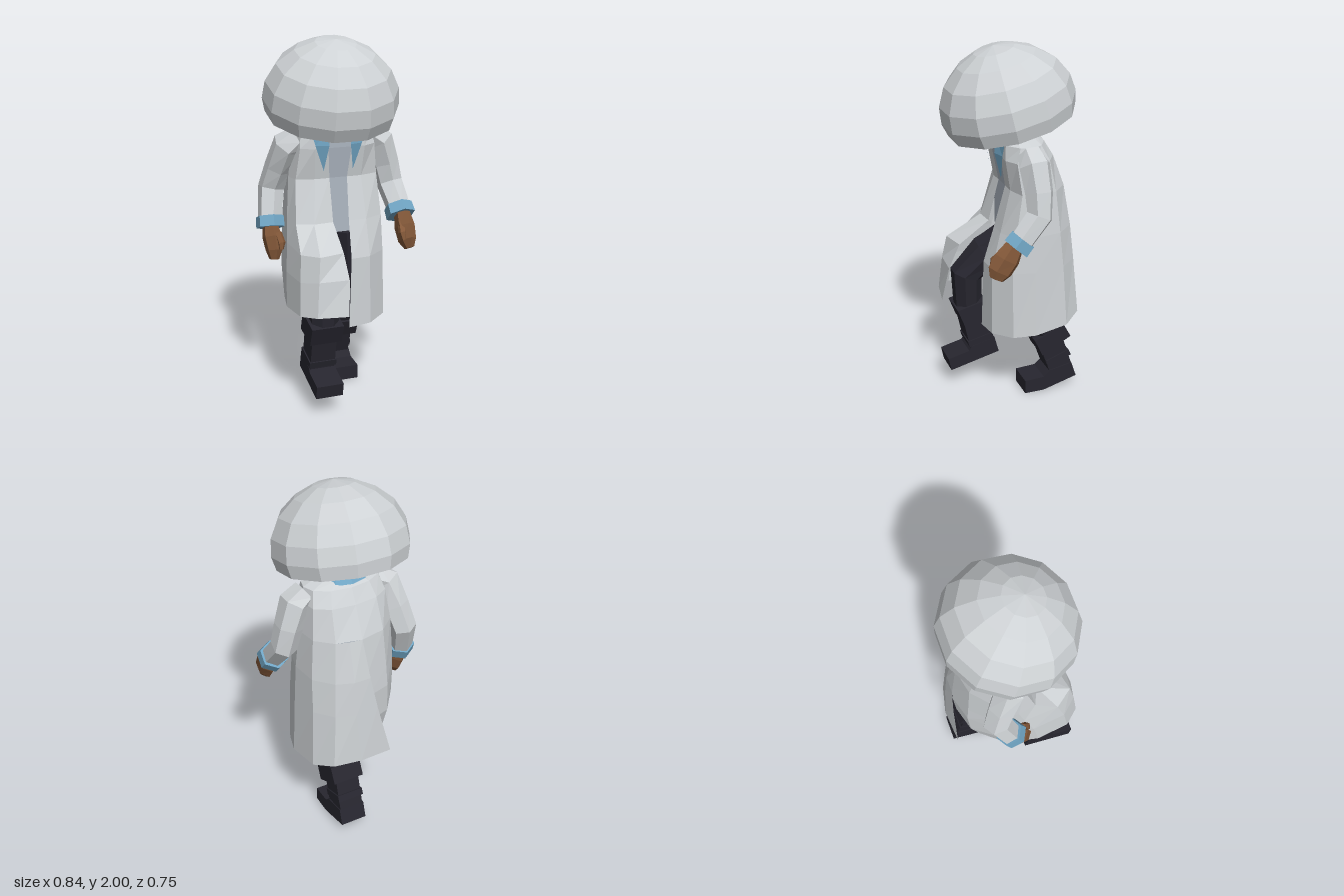
import * as THREE from 'three';

const mat = (name, color, side = THREE.FrontSide) =>
  Object.assign(new THREE.MeshStandardMaterial({ color, flatShading: true, side }), { name });

const V = (p) => new THREE.Vector3(...p);

// Skin a list of point rings; closed rings run counter-clockwise about the direction of travel
function loft(rings, closed = true) {
  const n = rings[0].length, pos = rings.flat().flatMap((p) => [...p]), idx = [];
  for (let r = 0; r < rings.length - 1; r++) {
    for (let i = 0; i < (closed ? n : n - 1); i++) {
      const j = (i + 1) % n, a = r * n + i, b = r * n + j, c = a + n, d = b + n;
      idx.push(a, b, d, a, d, c);
    }
  }
  if (closed) {
    const e = (rings.length - 1) * n;
    for (let i = 1; i < n - 1; i++) idx.push(0, i + 1, i, e, e + i, e + i + 1);
  }
  const g = new THREE.BufferGeometry();
  g.setAttribute('position', new THREE.Float32BufferAttribute(pos, 3));
  g.setIndex(idx);
  g.computeVertexNormals();
  return g;
}

// Limb along a path of [x, y, z, radius across, radius in depth]
function limb(path, sides) {
  const pts = path.map((p) => V(p.slice(0, 3)));
  return loft(pts.map((p, k) => {
    const t = pts[Math.min(k + 1, pts.length - 1)].clone().sub(pts[Math.max(k - 1, 0)]).normalize();
    const u = t.clone().cross(V([0, 0, 1])).normalize(), v = t.clone().cross(u);
    const [, , , ru, rv = ru] = path[k];
    return Array.from({ length: sides }, (_, i) => {
      const a = ((i + 0.5) / sides) * Math.PI * 2;
      return p.clone().addScaledVector(u, ru * Math.cos(a)).addScaledVector(v, rv * Math.sin(a));
    });
  }));
}

// Side profile of [z, y] points, extruded between two x positions
function slab(profile, x0, x1) {
  const g = new THREE.ExtrudeGeometry(
    new THREE.Shape(profile.map(([z, y]) => new THREE.Vector2(z, y))),
    { depth: x1 - x0, bevelEnabled: false });
  return g.rotateY(-Math.PI / 2).translate(x1, 0, 0);
}

export function createModel() {
  const model = new THREE.Group();
  const coat = mat('coat cloth', 0xced2d5, THREE.DoubleSide);
  const hatMat = mat('hat shell', 0xced2d5);
  const lining = mat('hat lining', 0x647584);
  const shirtMat = mat('shirt', 0xb0b9c4, THREE.DoubleSide);
  const blue = mat('blue trim', 0x70a5c4, THREE.DoubleSide);
  const skin = mat('skin', 0x835839);
  const dark = mat('dark trousers and boots', 0x27262f);
  const add = (name, geometry, material, parent = model) => {
    const m = new THREE.Mesh(geometry, material);
    m.name = name;
    parent.add(m);
    return m;
  };

  // Domed hat with the head under it, tipped forward together
  const head = new THREE.Group();
  head.name = 'headAndHat';
  head.position.set(-0.035, 1.585, -0.027);
  head.rotation.x = 0.25;
  model.add(head);
  const dome = [[0.346, 0], [0.364, 0.075], [0.353, 0.17], [0.302, 0.27], [0.212, 0.35], [0.11, 0.4], [0, 0.42]]
    .map((p) => new THREE.Vector2(...p));
  const inner = dome.map((p) => new THREE.Vector2(p.x * 0.985, p.y * 0.985)).reverse();
  add('hat', new THREE.LatheGeometry(dome, 12, Math.PI / 12), hatMat, head);
  add('hatLining', new THREE.LatheGeometry(inner, 12, Math.PI / 12), lining, head);
  const oval = (y, rx, rz, z = 0) => Array.from({ length: 8 }, (_, i) => {
    const a = ((i + 0.5) / 8) * Math.PI * 2;
    return V([rx * Math.sin(a), y, z + rz * Math.cos(a)]);
  });
  add('head', loft([oval(-0.01, 0.09, 0.1, 0.03), oval(0.05, 0.145, 0.155, 0.02),
    oval(0.17, 0.155, 0.16), oval(0.28, 0.12, 0.13)]), skin, head);
  for (const s of [-1, 1]) {
    const ear = add('ear', new THREE.BoxGeometry(0.03, 0.07, 0.045), skin, head);
    ear.position.set(s * 0.15, 0.09, 0);
  }
  add('neck', new THREE.CylinderGeometry(0.08, 0.085, 0.16, 8), skin).position.set(-0.025, 1.56, 0);

  // Coat body: half cross-sections from front edge to spine, mirrored
  const halves = [
    [1.25, [[0.05, 0.04], [0.13, 0.04], [0.23, 0.01], [0.25, -0.06], [0.23, -0.18], [0.14, -0.26], [0, -0.29]]],
    [1.42, [[0.065, 0.07], [0.14, 0.07], [0.21, 0.03], [0.23, -0.06], [0.21, -0.15], [0.13, -0.2], [0, -0.215]]],
    [1.5, [[0.085, 0.075], [0.13, 0.065], [0.2, 0.01], [0.215, -0.05], [0.19, -0.11], [0.11, -0.155], [0, -0.17]]],
    [1.53, [[0.085, 0.065], [0.11, 0.05], [0.13, 0.01], [0.135, -0.04], [0.115, -0.09], [0.07, -0.125], [0, -0.14]]],
  ];
  const section = ([y, half], k = 1, yy = y) => [
    ...half.map(([x, z]) => V([x * k - 0.01, yy, z * k])),
    ...half.slice(0, -1).reverse().map(([x, z]) => V([-x * k - 0.01, yy, z * k])),
  ];
  add('coatBody', loft(halves.map((h) => section(h)), false), coat);
  add('shirt', loft([section(halves[0], 0.88, 0.94), ...halves.map((h) => section(h, 0.93))]), shirtMat);

  // Coat skirt: columns from waist to hem, the right side pushed forward by the raised thigh
  const rightSkirt = [
    [[-0.06, 1.25, 0.04], [-0.06, 1.02, 0.1], [-0.06, 0.9, 0.27], [-0.05, 0.77, 0.335], [-0.065, 0.58, 0.375]],
    [[-0.14, 1.25, 0.04], [-0.17, 1.02, 0.11], [-0.2, 0.9, 0.3], [-0.215, 0.77, 0.325], [-0.23, 0.58, 0.345]],
    [[-0.24, 1.25, 0.01], [-0.26, 1.02, 0.07], [-0.275, 0.89, 0.2], [-0.29, 0.75, 0.24], [-0.3, 0.57, 0.265]],
    [[-0.26, 1.25, -0.06], [-0.28, 1.02, -0.03], [-0.29, 0.9, 0], [-0.31, 0.75, 0.05], [-0.32, 0.56, 0.08]],
    [[-0.24, 1.25, -0.18], [-0.26, 1.02, -0.18], [-0.265, 0.9, -0.18], [-0.28, 0.73, -0.15], [-0.28, 0.55, -0.1]],
    [[-0.15, 1.25, -0.26], [-0.165, 1.02, -0.28], [-0.17, 0.9, -0.29], [-0.18, 0.72, -0.28], [-0.17, 0.54, -0.23]],
    [[-0.01, 1.25, -0.29], [-0.02, 1.02, -0.32], [-0.03, 0.9, -0.33], [-0.04, 0.72, -0.32], [-0.02, 0.53, -0.27]],
  ];
  const leftSkirt = [
    [[-0.01, 1.25, -0.29], [-0.04, 1.02, -0.33], [-0.08, 0.82, -0.345], [-0.16, 0.5, -0.36]],
    [[0.06, 1.25, -0.28], [0.055, 1.02, -0.33], [0.05, 0.82, -0.35], [0.03, 0.51, -0.375]],
    [[0.13, 1.25, -0.26], [0.15, 1.02, -0.295], [0.16, 0.82, -0.315], [0.18, 0.5, -0.34]],
    [[0.22, 1.25, -0.18], [0.24, 1.02, -0.2], [0.245, 0.82, -0.22], [0.26, 0.47, -0.24]],
    [[0.24, 1.25, -0.06], [0.26, 1.02, -0.05], [0.27, 0.82, -0.05], [0.285, 0.45, -0.05]],
    [[0.22, 1.25, 0.01], [0.235, 1.02, 0.05], [0.24, 0.82, 0.07], [0.25, 0.44, 0.07]],
    [[0.12, 1.25, 0.04], [0.13, 1.02, 0.1], [0.135, 0.82, 0.15], [0.14, 0.43, 0.155]],
    [[0.04, 1.25, 0.04], [0.03, 1.02, 0.1], [0.025, 0.82, 0.16], [0.01, 0.425, 0.17]],
  ];
  add('rightCoatSkirt', loft(rightSkirt.map((c) => c.map(V)), false), coat);
  add('leftCoatSkirt', loft(leftSkirt.map((c) => c.map(V)), false), coat);

  // Blue collar band, higher at the back, and pointed tips
  const band = add('collar', new THREE.CylinderGeometry(0.115, 0.15, 0.05, 10, 1, true), blue);
  band.position.set(-0.018, 1.527, -0.03);
  band.scale.z = 0.9;
  band.rotation.x = 0.1;
  for (const s of [-1, 1]) {
    const tip = [[0.06, 1.53, 0.09], [0.15, 1.51, 0.075], [0.13, 1.44, 0.08], [0.082, 1.3, 0.07], [0.06, 1.44, 0.1]]
      .map(([x, y, z]) => V([s * x - 0.02, y, z]));
    add('collarTip', loft([[tip[0], tip[4], tip[3]], [tip[1], tip[2], tip[3]]], false), blue);
  }

  // Arms: sleeve, cuff, hand and thumb
  const arms = {
    left: {
      sleeve: [[0.19, 1.46, -0.04, 0.07], [0.25, 1.42, -0.045, 0.085], [0.295, 1.29, -0.052, 0.077],
        [0.322, 1.17, -0.045, 0.073], [0.337, 1.05, 0.06, 0.066]],
      cuff: [[0.336, 1.06, 0.05, 0.08], [0.338, 1.015, 0.09, 0.083]],
      hand: [[0.34, 1.03, 0.1, 0.042, 0.055], [0.34, 0.965, 0.14, 0.052, 0.075],
        [0.34, 0.9, 0.18, 0.046, 0.07], [0.345, 0.86, 0.2, 0.025, 0.04]],
      thumb: [[0.315, 0.99, 0.155, 0.02], [0.303, 0.95, 0.2, 0.022], [0.308, 0.915, 0.215, 0.012]],
    },
    right: {
      sleeve: [[-0.2, 1.46, -0.05, 0.07], [-0.26, 1.42, -0.07, 0.085], [-0.295, 1.29, -0.13, 0.077],
        [-0.325, 1.17, -0.172, 0.073], [-0.353, 1.01, -0.115, 0.066]],
      cuff: [[-0.352, 1.02, -0.115, 0.078], [-0.356, 0.965, -0.09, 0.08]],
      hand: [[-0.357, 0.98, -0.095, 0.042, 0.055], [-0.355, 0.92, -0.07, 0.052, 0.07],
        [-0.35, 0.85, -0.045, 0.046, 0.065], [-0.355, 0.8, -0.03, 0.025, 0.04]],
      thumb: [[-0.33, 0.95, -0.03, 0.02], [-0.32, 0.9, 0, 0.022], [-0.325, 0.865, 0.01, 0.012]],
    },
  };
  for (const [side, a] of Object.entries(arms)) {
    for (const [part, sides, material] of [['sleeve', 6, coat], ['cuff', 6, blue], ['hand', 6, skin], ['thumb', 5, skin]])
      add(side + part[0].toUpperCase() + part.slice(1), limb(a[part], sides), material);
  }

  // Legs in mid stride: trouser, boot top, shaft, ankle band and foot
  const legs = {
    right: {
      x: -0.16,
      trouser: [[-0.09, 0.9, -0.03, 0.1], [-0.13, 0.81, 0.09, 0.1], [-0.15, 0.68, 0.205, 0.093], [-0.15, 0.48, 0.2, 0.08]],
      top: [[0.245, 0.385], [0.285, 0.49], [0.115, 0.53], [0.08, 0.42]],
      shaft: [[0.2, 0.2], [0.25, 0.43], [0.12, 0.46], [0.07, 0.24]],
      band: [[0.212, 0.235], [0.222, 0.27], [0.075, 0.305], [0.065, 0.27]],
      foot: [[0.325, 0.105], [0.34, 0.18], [0.215, 0.21], [0.2, 0.235], [0.06, 0.27], [0.035, 0.175]],
    },
    left: {
      x: 0.065,
      trouser: [[0.08, 0.94, -0.05, 0.12], [0.09, 0.7, -0.06, 0.105], [0.085, 0.45, -0.145, 0.088], [0.08, 0.36, -0.18, 0.08]],
      top: [[-0.14, 0.24], [-0.095, 0.34], [-0.265, 0.42], [-0.31, 0.335]],
      shaft: [[-0.2, 0.1], [-0.13, 0.3], [-0.26, 0.36], [-0.33, 0.14]],
      band: [[-0.185, 0.15], [-0.172, 0.185], [-0.31, 0.235], [-0.325, 0.2]],
      foot: [[-0.045, 0], [-0.045, 0.08], [-0.16, 0.085], [-0.2, 0.12], [-0.33, 0.145], [-0.36, 0.055], [-0.16, 0]],
    },
  };
  for (const [side, l] of Object.entries(legs)) {
    add(side + 'TrouserLeg', limb(l.trouser, 8), dark);
    for (const [part, w] of [['top', 0.09], ['shaft', 0.07], ['band', 0.077], ['foot', 0.076]]) {
      const x = part === 'top' ? l.x + 0.008 : l.x;
      add(side + 'Boot' + part[0].toUpperCase() + part.slice(1), slab(l[part], x - w, x + w), dark);
    }
  }
  return model;
}
